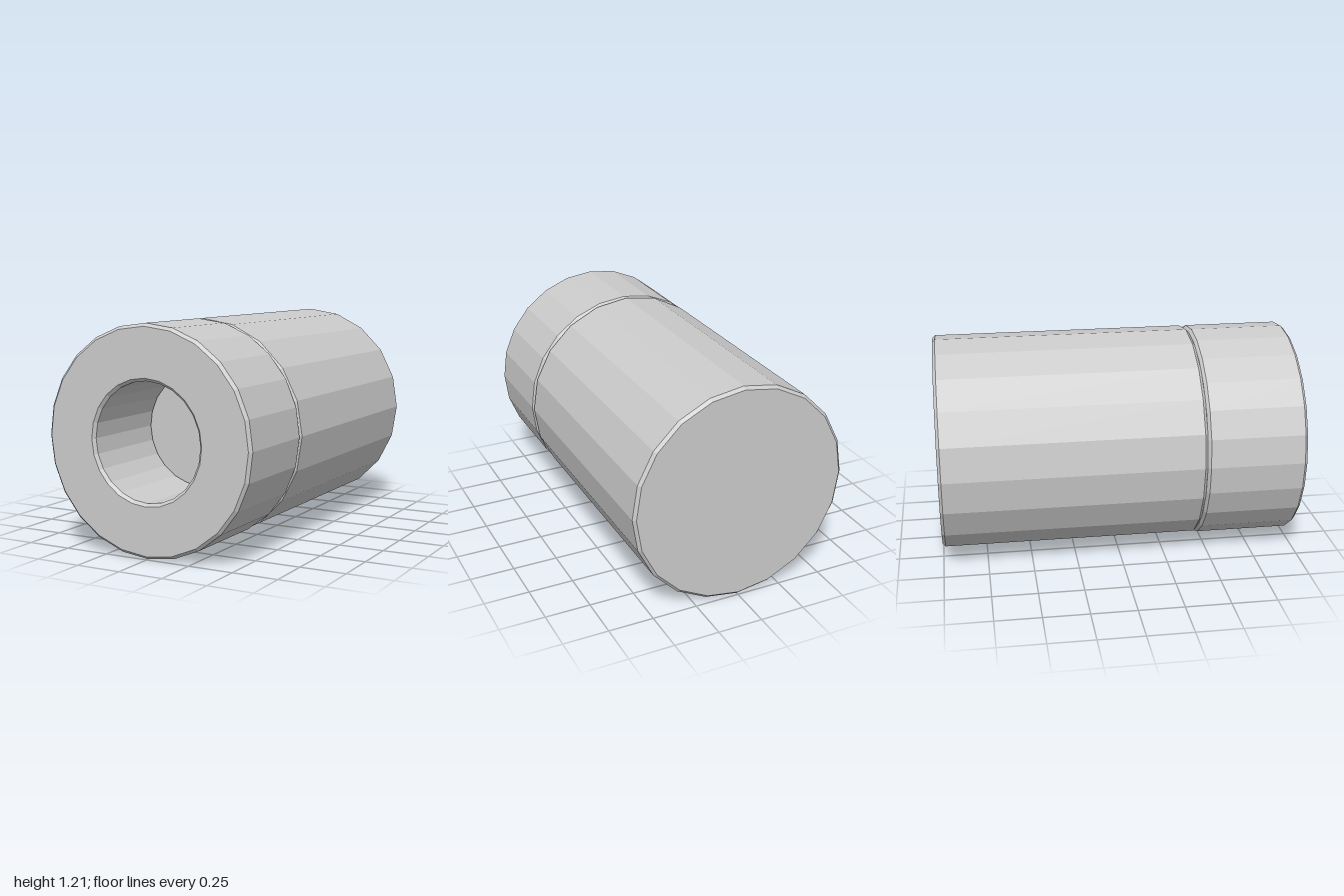
import * as THREE from 'three';

const R = 0.606;      // outer radius
const HOLE = 0.314;   // bore radius
const BEVEL = 0.016;  // chamfer on every sharp edge
const JOINT = 0.445;  // z where collar meets body

// Turned part lying along z; profile is [radius, z] pairs
function turned(name, profile, sides) {
  const geometry = new THREE.LatheGeometry(profile.map(([r, z]) => new THREE.Vector2(r, z)), sides);
  geometry.rotateX(Math.PI / 2);
  const material = new THREE.MeshStandardMaterial({ color: 0xcccccc, flatShading: true });
  const mesh = new THREE.Mesh(geometry, material);
  mesh.name = name;
  mesh.position.y = R;
  return mesh;
}

export function createModel() {
  const model = new THREE.Group();
  model.name = 'cylinderWithCollar';

  // Solid rear body, 20 sides, chamfered at both ends
  model.add(turned('body', [
    [0, -1], [R - BEVEL, -1], [R, -1 + BEVEL],
    [R, JOINT - BEVEL], [R - BEVEL, JOINT], [0, JOINT],
  ], 20));

  // Front collar, 24 sides, with a chamfered bore down to the body
  model.add(turned('collar', [
    [HOLE + BEVEL, JOINT], [R - BEVEL, JOINT], [R, JOINT + BEVEL],
    [R, 1 - BEVEL], [R - BEVEL, 1], [HOLE + BEVEL, 1],
    [HOLE, 1 - BEVEL], [HOLE, JOINT + BEVEL], [HOLE + BEVEL, JOINT],
  ], 24));

  return model;
}
